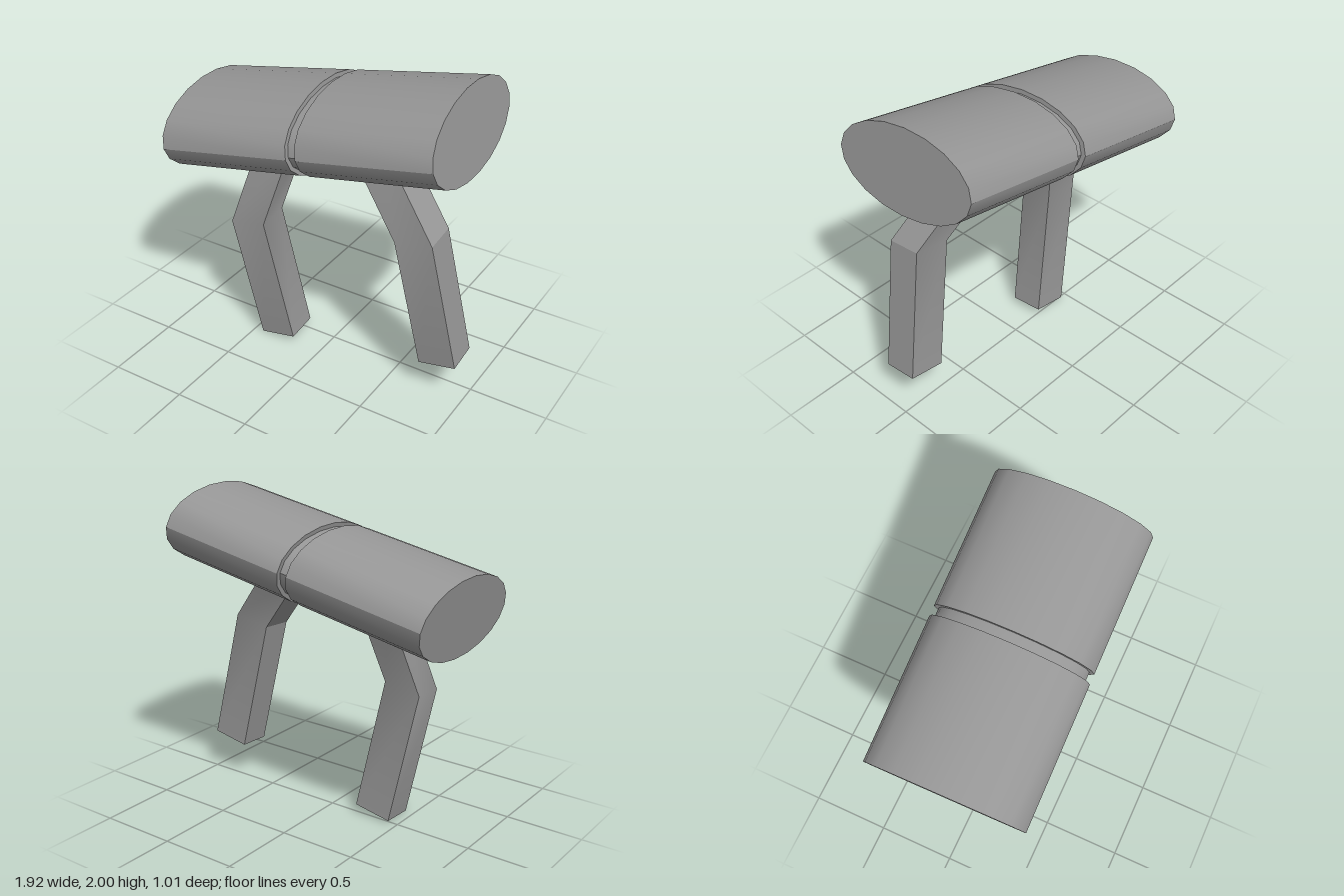
import * as THREE from 'three';
import { toCreasedNormals } from 'three/addons/utils/BufferGeometryUtils.js';

const CREASE = Math.PI / 6;
const material = new THREE.MeshStandardMaterial({ color: 0x969696 });
const openMaterial = new THREE.MeshStandardMaterial({ color: 0x969696, side: THREE.DoubleSide });

// Elliptical cylinder lying along x from x0 to x1
function barrel(name, x0, x1, halfHeight, halfWidth) {
  const geometry = new THREE.CylinderGeometry(1, 1, x1 - x0, 20);
  geometry.rotateZ(Math.PI / 2);
  geometry.scale(1, halfHeight, halfWidth);
  geometry.translate((x0 + x1) / 2, 0, 0);
  const mesh = new THREE.Mesh(toCreasedNormals(geometry, CREASE), material);
  mesh.name = name;
  return mesh;
}

// Open rectangular tube through level sections, each given by its centre [x, y, z]
function leg(name, centres, width, depth) {
  const corners = [[-1, 1], [1, 1], [1, -1], [-1, -1]];
  const rings = centres.map(([x, y, z]) =>
    corners.map(([sx, sz]) => [x + sx * width / 2, y, z + sz * depth / 2]));
  const positions = [];
  for (let r = 0; r < rings.length - 1; r++) {
    for (let i = 0; i < 4; i++) {
      const j = (i + 1) % 4;
      const a = rings[r][i], b = rings[r][j], c = rings[r + 1][j], d = rings[r + 1][i];
      positions.push(...a, ...b, ...c, ...a, ...c, ...d);
    }
  }
  const geometry = new THREE.BufferGeometry();
  geometry.setAttribute('position', new THREE.Float32BufferAttribute(positions, 3));
  geometry.computeVertexNormals();
  const mesh = new THREE.Mesh(toCreasedNormals(geometry, CREASE), openMaterial);
  mesh.name = name;
  return mesh;
}

export function createModel() {
  const model = new THREE.Group();
  model.name = 'model';

  // Whole assembly is tilted, with the body axis along its local x
  const assembly = new THREE.Group();
  assembly.name = 'assembly';
  assembly.position.set(-0.0125, 1.581, -0.003);
  assembly.rotation.set(0.075, 0.012, 0.188, 'YZX');
  model.add(assembly);

  // Two body halves joined by a narrower band
  assembly.add(
    barrel('rightBody', -0.915, -0.013, 0.253, 0.495),
    barrel('leftBody', 0.05, 0.915, 0.253, 0.495),
    barrel('joiningBand', -0.03, 0.07, 0.226, 0.465)
  );

  // Bent legs: straight down to the foot, leaning inward into the body above the knee
  for (const [name, x, lean] of [['rightLeg', -0.593, 0.235], ['leftLeg', 0.586, -0.297]]) {
    assembly.add(leg(name, [
      [x, -1.455, 0.194],
      [x, -0.595, 0.194],
      [x + lean, -0.1, 0.021]
    ], 0.245, 0.214));
  }
  return model;
}
